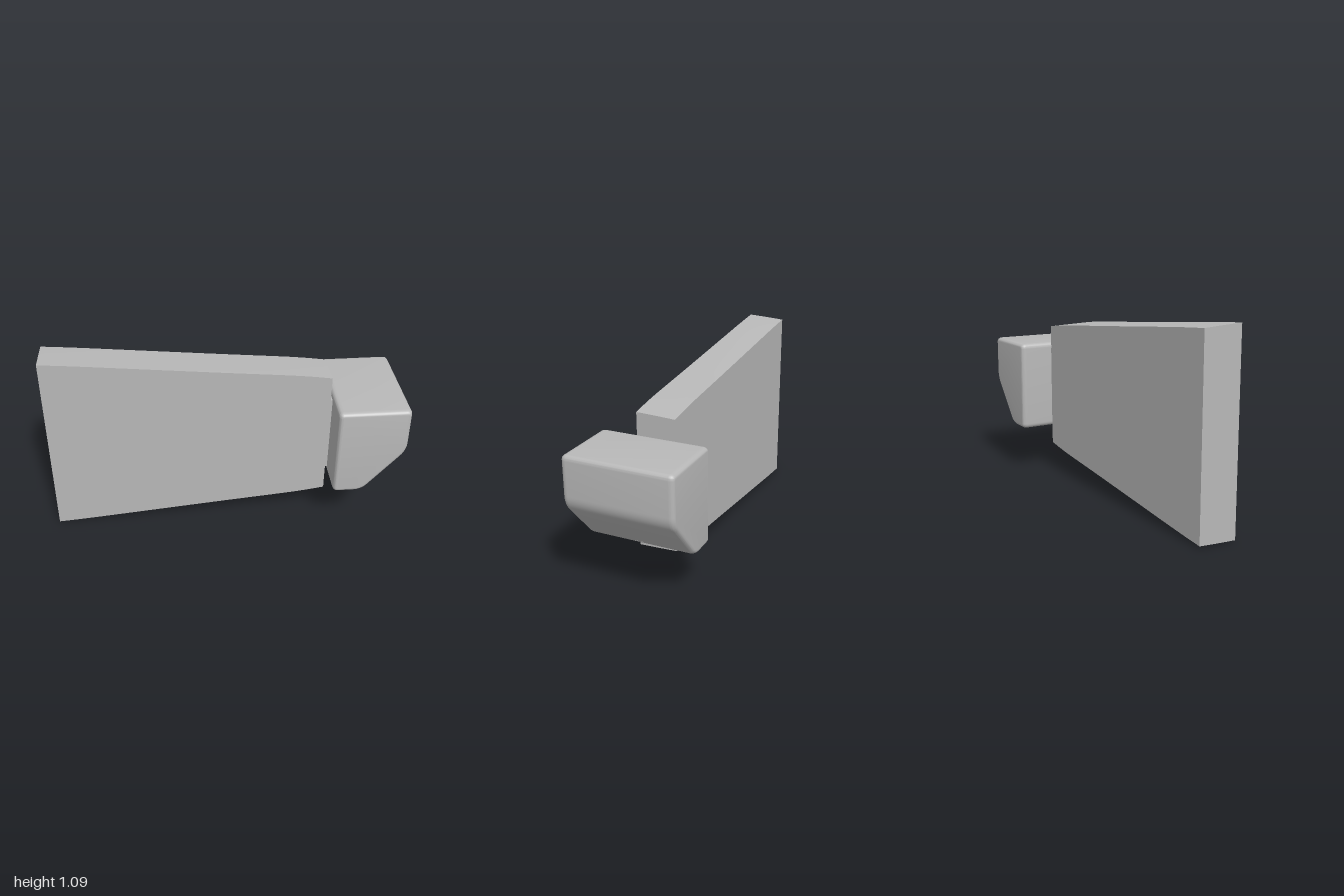
import * as THREE from 'three';
import { mergeGeometries, toCreasedNormals } from 'three/addons/utils/BufferGeometryUtils.js';

const V = (x, y) => new THREE.Vector2(x, y);

// Tapered panel: a box whose height follows a gentle S-curve and thins toward the back
function panelGeometry() {
  const curve = new THREE.SplineCurve([
    V(-1, 0.544), V(-0.8, 0.527), V(-0.4, 0.487), V(0, 0.447), V(0.4, 0.408), V(0.585, 0.382),
  ]);
  const outline = curve.getPoints(100);
  const halfHeight = (x) => {
    const i = Math.max(1, outline.findIndex((p) => p.x >= x - 1e-5));
    const a = outline[i - 1], b = outline[i];
    return THREE.MathUtils.mapLinear(x, a.x, b.x, a.y, b.y);
  };
  const g = new THREE.BoxGeometry(1.585, 2, 0.22, 24, 1, 4);
  g.translate(-0.2075, 0, 0);
  const p = g.attributes.position;
  for (let i = 0; i < p.count; i++) {
    const s = (0.11 - p.getZ(i)) / 0.22;
    const h = halfHeight(p.getX(i)) * (1 - 0.016 * s - 0.007 * s * s);
    p.setY(i, 0.545 + Math.sign(p.getY(i)) * h);
  }
  return toCreasedNormals(g, 0.3);
}

// Head profile with rounded corners: [x, y, corner cut]
const corners = [
  [0.597, 0.28, 0.03], [0.765, 0.28, 0.05], [1, 0.548, 0.05], [1, 0.815, 0.03], [0.597, 0.815, 0.03],
];
const cornerPoint = (i) => V(corners[i][0], corners[i][1]);
const toward = (i, j) => {
  const d = cornerPoint(j).sub(cornerPoint(i)).normalize();
  return cornerPoint(i).addScaledVector(d, corners[i][2]);
};
const slopeStart = toward(1, 2), slopeEnd = toward(2, 1);
const bore = { y: 0.356, r: 0.047, floor: 0.64 };
const slopeX = (y) => THREE.MathUtils.mapLinear(y, slopeStart.y, slopeEnd.y, slopeStart.x, slopeEnd.x);

function headGeometry() {
  const shape = new THREE.Shape();
  corners.forEach(([x, y], i) => {
    const a = toward(i, (i + 4) % 5), b = toward(i, (i + 1) % 5);
    if (i) shape.lineTo(a.x, a.y); else shape.moveTo(a.x, a.y);
    shape.quadraticCurveTo(x, y, b.x, b.y);
  });
  shape.closePath();
  const solid = new THREE.ExtrudeGeometry(shape, {
    depth: 0.55, curveSegments: 8, bevelThickness: 0.03, bevelSize: 0.022, bevelOffset: -0.022, bevelSegments: 8,
  });
  solid.translate(0, 0, -0.275);

  // Leave out the flat sloping face so it can be replaced by one with a hole
  const dir = slopeEnd.clone().sub(slopeStart).normalize();
  const normal = new THREE.Vector3(dir.y, -dir.x, 0);
  const p = solid.attributes.position, kept = [];
  const tri = new THREE.Triangle(), n = new THREE.Vector3();
  for (let i = 0; i < p.count; i += 3) {
    tri.setFromAttributeAndIndices(p, i, i + 1, i + 2);
    tri.getNormal(n);
    if (n.dot(normal) < 0.9999) kept.push(...tri.a, ...tri.b, ...tri.c);
  }
  const shell = new THREE.BufferGeometry();
  shell.setAttribute('position', new THREE.Float32BufferAttribute(kept, 3));

  // Sloping face with an elliptical opening
  const length = slopeStart.distanceTo(slopeEnd);
  const face = new THREE.Shape([V(0, -0.275), V(length, -0.275), V(length, 0.275), V(0, 0.275)]);
  const hole = new THREE.Path();
  hole.absellipse((bore.y - slopeStart.y) / dir.y, 0, bore.r / dir.y, bore.r, 0, Math.PI * 2, true);
  face.holes.push(hole);
  const slope = new THREE.ShapeGeometry(face, 24).toNonIndexed();
  slope.applyMatrix4(new THREE.Matrix4()
    .makeBasis(new THREE.Vector3(dir.x, dir.y, 0), new THREE.Vector3(0, 0, 1), normal)
    .setPosition(slopeStart.x, slopeStart.y, 0));
  slope.deleteAttribute('normal');
  slope.deleteAttribute('uv');
  return toCreasedNormals(mergeGeometries([shell, slope]), 0.3);
}

// Horizontal bore wall, seen from inside, trimmed to the slope
function boreGeometry() {
  const g = new THREE.CylinderGeometry(bore.r, bore.r, 2, 48, 1, true);
  g.rotateZ(-Math.PI / 2);
  g.scale(1, 1, -1);
  g.translate(0, bore.y, 0);
  const p = g.attributes.position;
  for (let i = 0; i < p.count; i++) p.setX(i, p.getX(i) > 0 ? slopeX(p.getY(i)) : bore.floor);
  return toCreasedNormals(g, 0.5);
}

export function createModel() {
  const group = new THREE.Group();
  const grey = new THREE.MeshStandardMaterial({ color: 0xb8b8b8 });
  grey.name = 'light grey';
  const add = (name, geometry, x = 0, y = 0, z = 0) => {
    const mesh = new THREE.Mesh(geometry, grey);
    mesh.name = name;
    mesh.position.set(x, y, z);
    group.add(mesh);
  };
  add('panel', panelGeometry());
  add('neck', new THREE.BoxGeometry(0.03, 0.465, 0.21), 0.593, 0.5475, 0);
  add('head', headGeometry());
  add('boreWall', boreGeometry());
  add('boreFloor', new THREE.CircleGeometry(bore.r, 48).rotateY(Math.PI / 2), bore.floor, bore.y, 0);
  return group;
}
